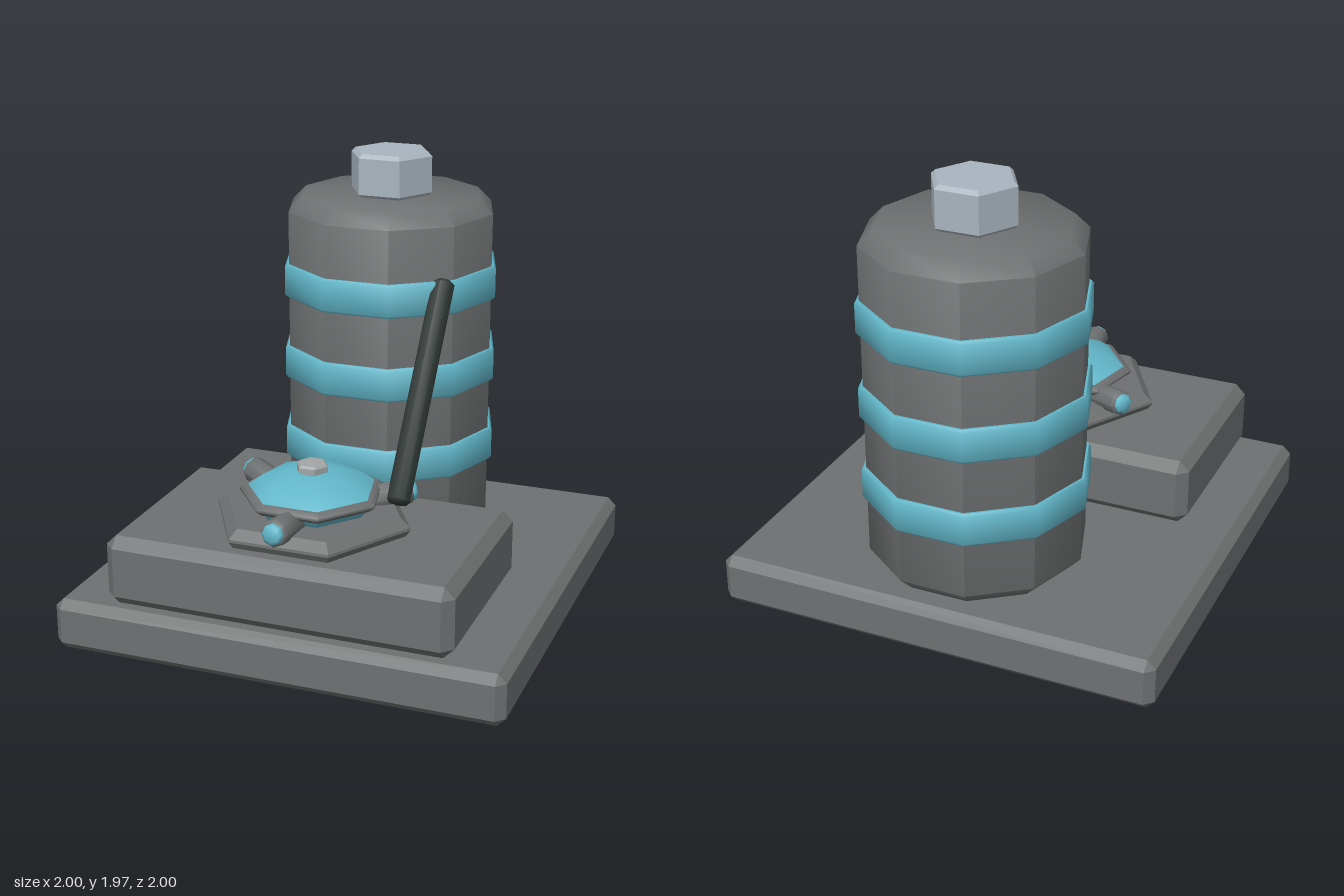
import * as THREE from 'three';
import { toCreasedNormals } from 'three/addons/utils/BufferGeometryUtils.js';
import { ConvexGeometry } from 'three/addons/geometries/ConvexGeometry.js';

const paint = (name, color) => {
  const m = new THREE.MeshStandardMaterial({ color });
  m.name = name;
  return m;
};

// Box with every edge chamfered by b
function chamferBox(w, h, d, b) {
  const pts = [];
  for (const sx of [-1, 1]) for (const sy of [-1, 1]) for (const sz of [-1, 1]) {
    for (const [i, j, k] of [[0, b, b], [b, 0, b], [b, b, 0]]) {
      pts.push(new THREE.Vector3(sx * (w / 2 - i), sy * (h / 2 - j), sz * (d / 2 - k)));
    }
  }
  return new ConvexGeometry(pts);
}

// Low-sided turned part; profile runs bottom to top as [radius, height]
function turned(profile, sides, start = Math.PI / 2, crease = 0.9) {
  const pts = profile.map(([r, y]) => new THREE.Vector2(r, y));
  return toCreasedNormals(new THREE.LatheGeometry(pts, sides, start), crease);
}

// Closed prism with chamfered rims
function prism(r, y0, y1, b, sides, crease) {
  return turned([[0, y0], [r - b, y0], [r, y0 + b], [r, y1 - b], [r - b, y1], [0, y1]], sides, Math.PI / 2, crease);
}

export function createModel() {
  const grey = paint('iron grey', 0x6e7071);
  const teal = paint('teal', 0x62b7ca);
  const steel = paint('pale steel', 0xaab5bf);
  const bolt = paint('bolt grey', 0xa3a6a7);
  const dark = paint('dark pipe', 0x303836);

  const model = new THREE.Group();
  model.name = 'tankMachine';
  const add = (parent, name, geometry, material, x = 0, y = 0, z = 0) => {
    const mesh = new THREE.Mesh(geometry, material);
    mesh.name = name;
    mesh.position.set(x, y, z);
    parent.add(mesh);
    return mesh;
  };

  // Floor slab and the plinth on it
  add(model, 'baseSlab', chamferBox(2, 0.23, 2, 0.038), grey, 0, 0.115, 0);
  add(model, 'plinth', chamferBox(1.535, 0.31, 0.92, 0.046), grey, 0, 0.385, 0.5);

  // Ten-sided tank with three bands and a hexagonal cap
  const tank = new THREE.Group();
  tank.name = 'tank';
  tank.position.z = -0.48;
  model.add(tank);
  add(tank, 'tankBody', prism(0.48, 0.23, 1.77, 0.065, 10), grey);
  [0.545, 0.93, 1.315].forEach((y, i) => {
    const band = [[0.46, y], [0.49, y], [0.5, y + 0.012], [0.5, y + 0.14], [0.49, y + 0.152], [0.46, y + 0.152]];
    add(tank, `tankBand${i + 1}`, turned(band, 10), teal);
  });
  add(tank, 'tankCap', prism(0.192, 1.765, 1.965, 0.018, 6, 0.6), steel);

  // Hexagonal mount with the seven-sided dome
  const pump = new THREE.Group();
  pump.name = 'domeUnit';
  pump.position.z = 0.5;
  model.add(pump);
  add(pump, 'domeMount', turned([[0, 0.535], [0.415, 0.535], [0.44, 0.57], [0.438, 0.582], [0.395, 0.62], [0, 0.62]], 6, Math.PI / 2, 0.6), grey);
  add(pump, 'dome', turned([[0.24, 0.615], [0.28, 0.66], [0.288, 0.695], [0.22, 0.745], [0.12, 0.775], [0, 0.785]], 7, Math.PI), teal);
  add(pump, 'domeRim', turned([[0.25, 0.655], [0.285, 0.655], [0.312, 0.675], [0.312, 0.685], [0.29, 0.703], [0.25, 0.703]], 7, Math.PI), grey);
  add(pump, 'domeBolt', prism(0.07, 0.77, 0.815, 0.01, 6, 0.6), bolt);

  // Three nozzles around the dome, tilted slightly up, each with a lens
  for (let i = 0; i < 3; i++) {
    const arm = new THREE.Group();
    arm.name = `nozzle${i + 1}`;
    arm.rotation.y = i * Math.PI * 2 / 3;
    pump.add(arm);
    const tilted = new THREE.Group();
    tilted.name = 'nozzleAxis';
    tilted.position.set(0, 0.625, 0.18);
    tilted.rotation.x = Math.PI / 2 - 0.14;
    arm.add(tilted);
    add(tilted, 'nozzleTube', prism(0.058, 0, 0.25, 0.012, 8), grey);
    add(tilted, 'nozzleLens', turned([[0.046, 0.24], [0.046, 0.258], [0.034, 0.271], [0, 0.271]], 8), teal);
  }

  // Slanted pipe from the dome mount into the tank
  const from = new THREE.Vector3(0.343, 0.632, 0.388);
  const to = new THREE.Vector3(0.347, 1.46, -0.19);
  const along = to.clone().sub(from);
  const pipe = add(model, 'slantedPipe', prism(0.053, 0, along.length(), 0.014, 8), dark);
  pipe.position.copy(from);
  pipe.quaternion.setFromUnitVectors(new THREE.Vector3(0, 1, 0), along.normalize());

  return model;
}
